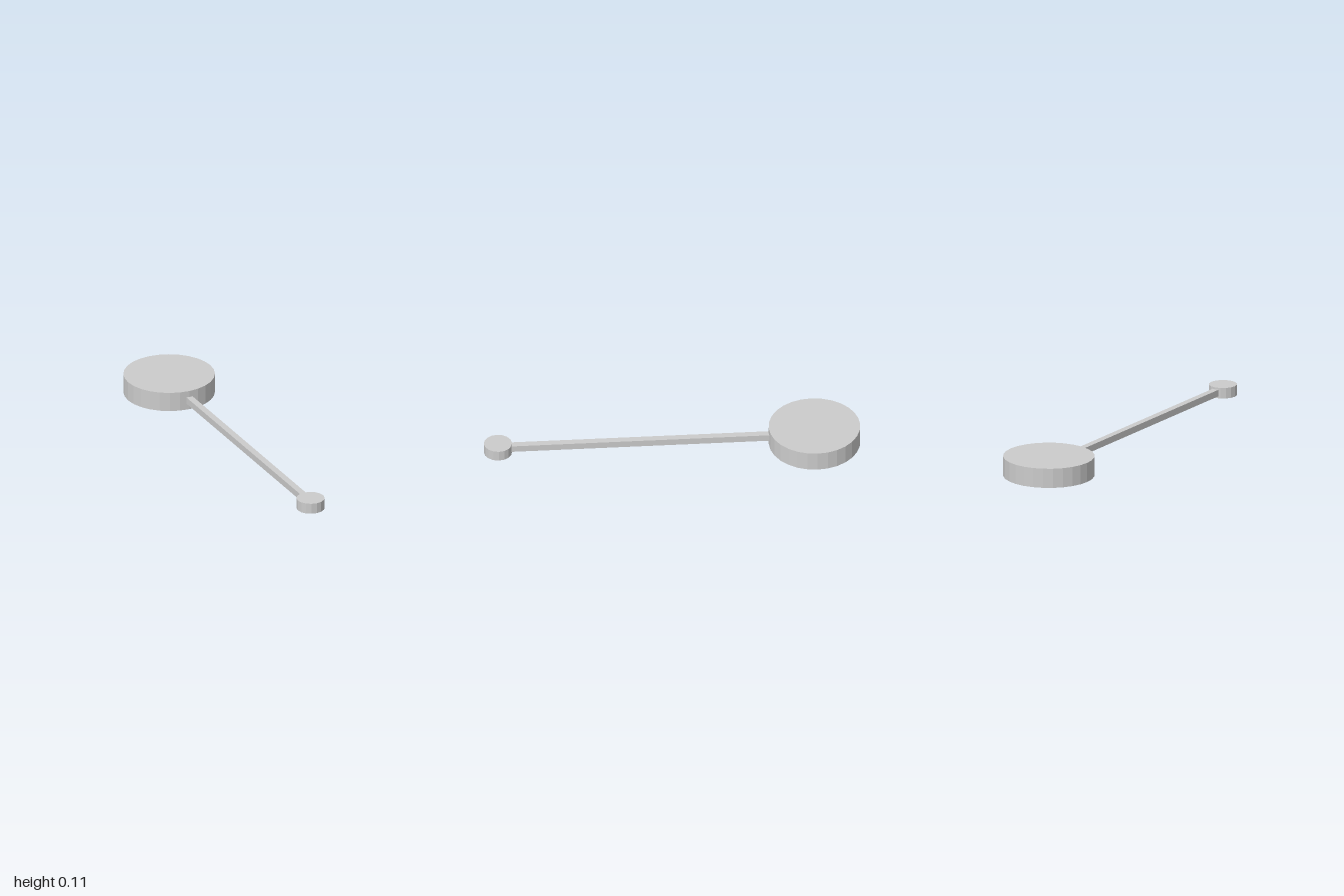
import * as THREE from 'three';

export function createModel() {
  const group = new THREE.Group();
  group.name = 'pendulum';
  const material = new THREE.MeshStandardMaterial({ color: 0xcccccc, flatShading: true });
  const midY = 0.053;

  function add(name, geometry, z) {
    const mesh = new THREE.Mesh(geometry, material);
    mesh.name = name;
    mesh.position.set(0, midY, z);
    group.add(mesh);
  }

  // Heavy disc at the back, small pivot disc at the front
  const bobZ = -0.757, pivotZ = 0.925;
  add('bob', new THREE.CylinderGeometry(0.243, 0.243, 0.106, 28), bobZ);
  add('pivot', new THREE.CylinderGeometry(0.075, 0.075, 0.058, 16), pivotZ);

  // Square rod joining the two discs
  add('rod', new THREE.BoxGeometry(0.036, 0.036, pivotZ - bobZ), (pivotZ + bobZ) / 2);

  return group;
}
